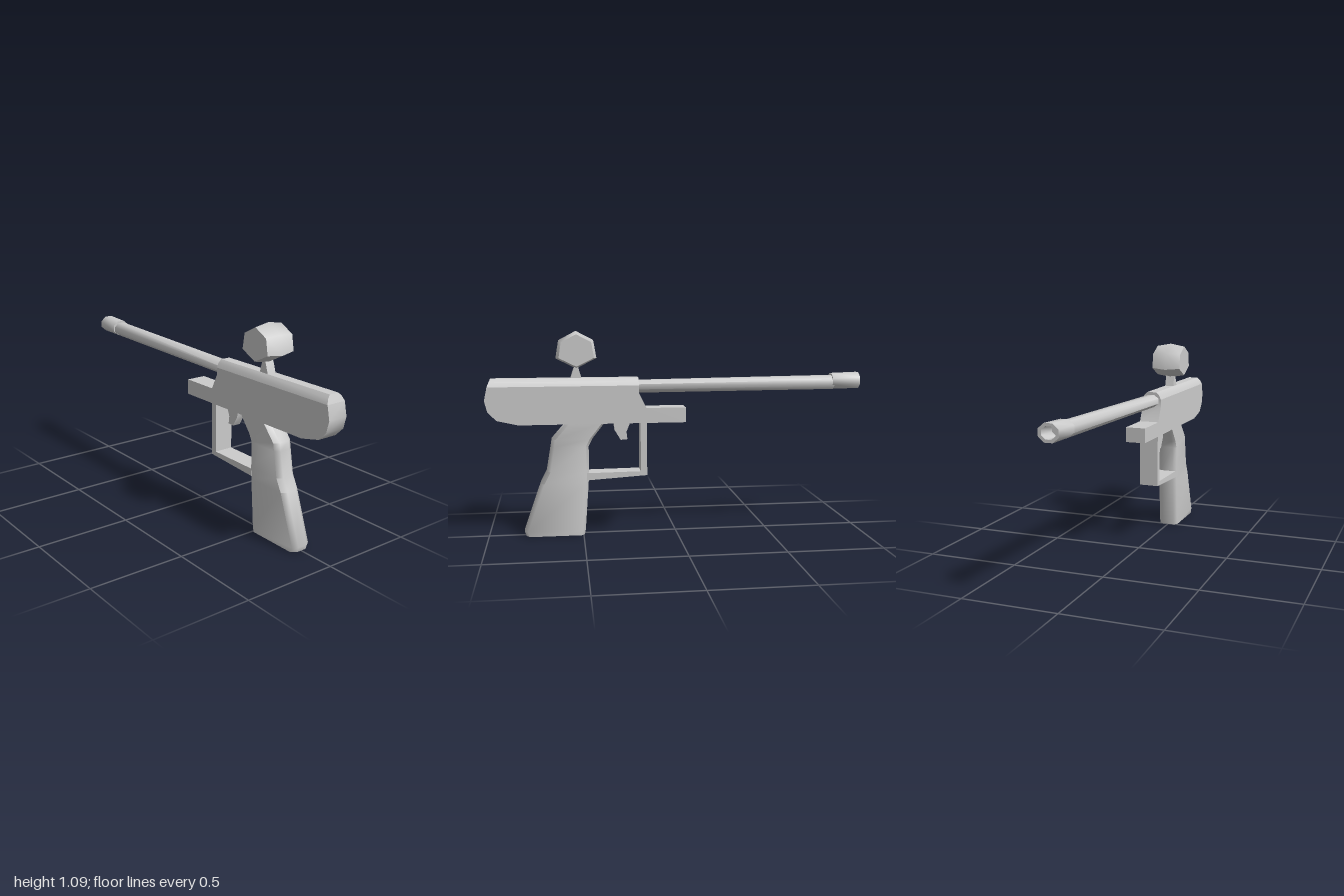
import * as THREE from 'three';
import { toCreasedNormals } from 'three/addons/utils/BufferGeometryUtils.js';

const material = new THREE.MeshStandardMaterial({ color: 0xcccccc });

function addPart(parent, name, geometry, crease = 0.6) {
  const mesh = new THREE.Mesh(toCreasedNormals(geometry, crease), material);
  mesh.name = name;
  parent.add(mesh);
  return mesh;
}

// Flat side profile, extruded evenly to both sides of z = 0
function slab(points, halfDepth) {
  const shape = new THREE.Shape(points.map(([x, y]) => new THREE.Vector2(x, y)));
  const geometry = new THREE.ExtrudeGeometry(shape, { depth: halfDepth * 2, bevelEnabled: false });
  return geometry.translate(0, 0, -halfDepth);
}

// Skin over rings that run counter-clockwise about the direction of travel
function loft(rings) {
  const n = rings[0].length;
  const last = (rings.length - 1) * n;
  const index = [];
  for (let i = 0; i < rings.length - 1; i++) {
    for (let j = 0; j < n; j++) {
      const a = i * n + j, b = i * n + (j + 1) % n;
      index.push(a, b, b + n, a, b + n, a + n);
    }
  }
  for (let j = 1; j < n - 1; j++) {
    index.push(0, j + 1, j, last, last + j, last + j + 1);
  }
  const geometry = new THREE.BufferGeometry();
  geometry.setAttribute('position', new THREE.Float32BufferAttribute(rings.flat(2), 3));
  geometry.setIndex(index);
  return geometry;
}

// Eight-sided ring facing -x
function barrelRing(x, y, z, ry, rz) {
  return Array.from({ length: 8 }, (_, i) => {
    const a = (i + 0.5) * Math.PI / 4;
    const k = 1 / Math.cos(Math.PI / 8);
    return [x, y + Math.sin(a) * ry * k, z + Math.cos(a) * rz * k];
  });
}

export function createModel() {
  const model = new THREE.Group();
  model.name = 'marker';
  const half = 0.054;

  // Receiver with the short foregrip block in front
  addPart(model, 'receiver', slab([
    [-0.05, 0.6], [0.83, 0.6], [0.94, 0.625], [0.985, 0.67], [1, 0.73],
    [0.985, 0.8], [0.2, 0.8], [0.2, 0.76], [0.16, 0.68], [-0.05, 0.68],
  ], half));

  // Rounded top of the receiver, its rear end sloping forward
  const section = [[-half, 0.8], [half, 0.8], [0.043, 0.824], [0.026, 0.84], [-0.026, 0.84], [-0.043, 0.824]];
  const topRing = (slope, x) => section.map(([z, y]) => [x - (y - 0.8) * slope, y, z]).reverse();
  addPart(model, 'receiverTop', loft([topRing(0, 0.2), topRing(0.4, 0.985)]), 0.75);

  // Barrel, leaning slightly up and to the rear side
  addPart(model, 'barrel', loft([
    barrelRing(0.24, 0.791, -0.001, 0.033, 0.042),
    barrelRing(-0.86, 0.803, -0.028, 0.037, 0.043),
  ]), 0.9);

  // Muzzle sleeve with a blind bore
  addPart(model, 'muzzle', loft([
    barrelRing(-0.85, 0.809, -0.026, 0.041, 0.049),
    barrelRing(-1, 0.812, -0.029, 0.043, 0.05),
    barrelRing(-1, 0.812, -0.029, 0.029, 0.034),
    barrelRing(-0.9, 0.81, -0.027, 0.029, 0.034),
  ]), 0.9);

  // Grip: height, front edge and back edge of each section
  const gripLevels = [
    [0, 0.495, 0.803], [0.027, 0.489, 0.813], [0.283, 0.47, 0.723], [0.347, 0.467, 0.69],
    [0.48, 0.467, 0.667], [0.52, 0.447, 0.66], [0.605, 0.38, 0.585],
  ];
  addPart(model, 'grip', loft(gripLevels.map(([y, front, back]) => [
    [front + 0.015, y, half], [back - 0.02, y, half], [back, y, 0.028], [back, y, -0.028],
    [back - 0.02, y, -half], [front + 0.015, y, -half], [front, y, -0.035], [front, y, 0.035],
  ])), 0.95);

  // Trigger guard: upright and lower bar in one profile
  addPart(model, 'triggerGuard', slab([
    [0.158, 0.6], [0.158, 0.318], [0.48, 0.298], [0.48, 0.337], [0.192, 0.34], [0.192, 0.6],
  ], 0.052));

  addPart(model, 'trigger', slab([
    [0.243, 0.605], [0.265, 0.55], [0.26, 0.51], [0.296, 0.507], [0.328, 0.56], [0.333, 0.605],
  ], 0.022));

  // Hopper neck and faceted drum
  addPart(model, 'hopperNeck', slab([
    [0.497, 0.835], [0.557, 0.835], [0.543, 0.88], [0.535, 0.9], [0.515, 0.9], [0.51, 0.88],
  ], 0.025));
  const outline = [[0.107, -0.045], [0.091, 0.05], [0, 0.098], [-0.091, 0.05], [-0.107, -0.045], [0, -0.098]];
  const drumRing = (z, s) => outline.map(([x, y]) => [0.525 + x * s, 0.987 + y * s, z]);
  addPart(model, 'hopperDrum', loft([
    drumRing(-0.082, 0.85), drumRing(0, 1), drumRing(0.082, 0.85),
  ]), 1.1);

  return model;
}
